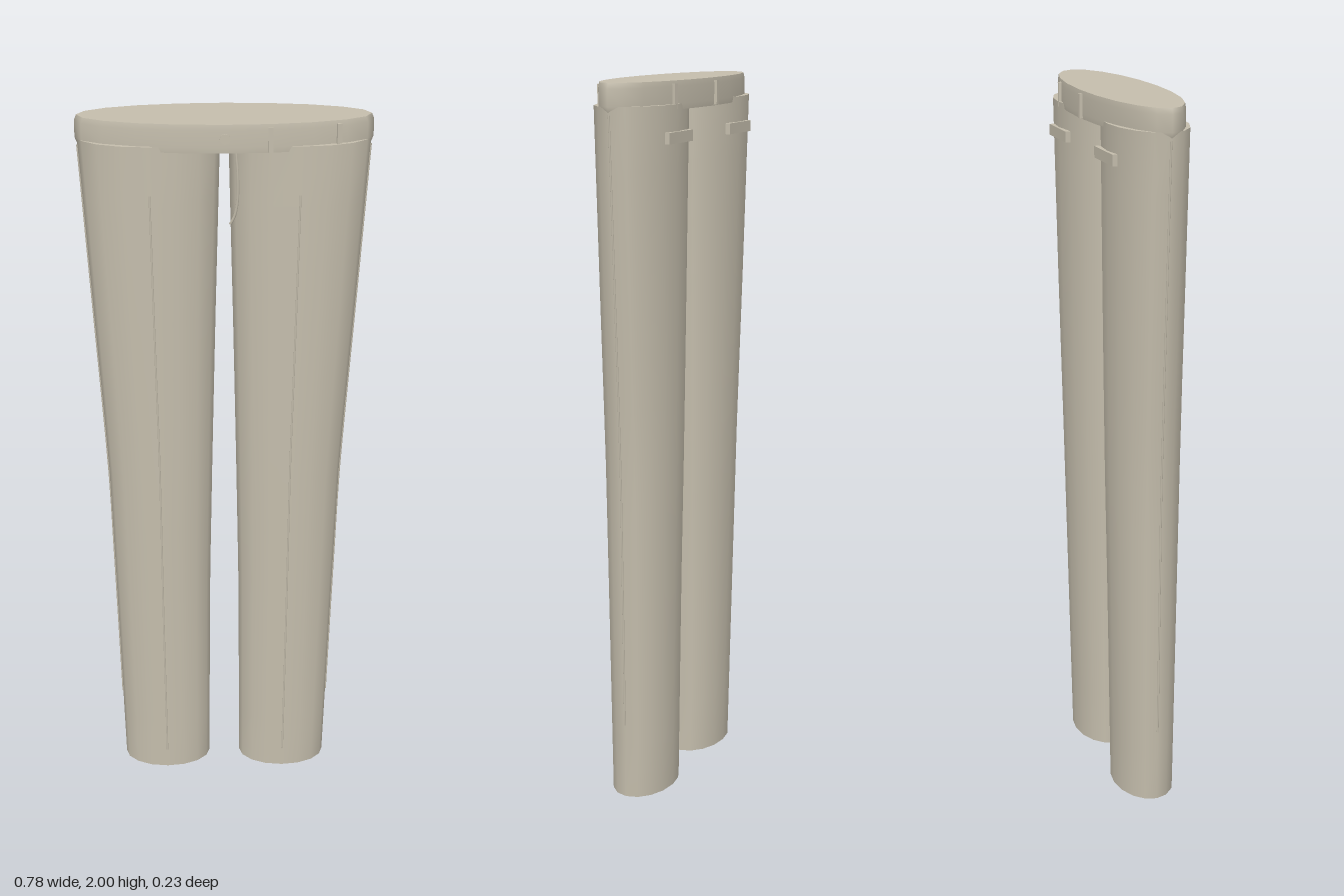
import * as THREE from 'three';

// Leg cross-sections: height, centre x, radius x, centre z, radius z
const SECTIONS = [
  [0, 0.174, 0.128, 0.004, 0.085],
  [0.6, 0.180, 0.138, 0.001, 0.092],
  [1.0, 0.182, 0.148, -0.001, 0.097],
  [1.4, 0.190, 0.165, -0.003, 0.1],
  [1.94, 0.199, 0.188, -0.005, 0.103],
];

// Interpolated section at a height
function sectionAt(y) {
  let i = 0;
  while (i < SECTIONS.length - 2 && y > SECTIONS[i + 1][0]) i++;
  const a = SECTIONS[i], b = SECTIONS[i + 1];
  const t = THREE.MathUtils.clamp((y - a[0]) / (b[0] - a[0]), 0, 1);
  return a.map((v, k) => v + (b[k] - v) * t);
}

// Point on the leg surface; angle 0 is the front, PI/2 the outer side
function legPoint(y, angle, side) {
  const [, cx, rx, cz, rz] = sectionAt(y);
  return new THREE.Vector3(side * (cx + rx * Math.sin(angle)), y, cz + rz * Math.cos(angle));
}

export function createModel() {
  const model = new THREE.Group();
  model.name = 'trousers';
  const cloth = new THREE.MeshStandardMaterial({ color: 0xc4bdac });
  cloth.name = 'beige cloth';

  const add = (geometry, name, x = 0, y = 0, z = 0) => {
    const mesh = new THREE.Mesh(geometry, cloth);
    mesh.name = name;
    mesh.position.set(x, y, z);
    model.add(mesh);
    return mesh;
  };
  const addCord = (points, radius, name) =>
    add(new THREE.TubeGeometry(new THREE.CatmullRomCurve3(points), 16, radius, 6), name);

  for (const side of [-1, 1]) {
    const label = side > 0 ? 'left' : 'right';

    // Leg: a cylinder shaped by the cross-sections
    const leg = new THREE.CylinderGeometry(1, 1, 1.94, 16, 12);
    const p = leg.attributes.position;
    for (let i = 0; i < p.count; i++) {
      const y = p.getY(i) + 0.97;
      const [, cx, rx, cz, rz] = sectionAt(y);
      p.setXYZ(i, side * cx + rx * p.getX(i), y, cz + rz * p.getZ(i));
    }
    // Smooth normals around the sides, without a seam
    leg.computeVertexNormals();
    const n = leg.attributes.normal;
    for (let row = 0; row <= 12; row++) {
      const a = row * 17, b = a + 16;
      const v = new THREE.Vector3().fromBufferAttribute(n, a)
        .add(new THREE.Vector3().fromBufferAttribute(n, b)).normalize();
      n.setXYZ(a, v.x, v.y, v.z);
      n.setXYZ(b, v.x, v.y, v.z);
    }
    add(leg, label + 'Leg');

    // Pressed crease down the front and seam down the outer side
    const along = (from, to, angle) => Array.from({ length: 8 }, (_, i) =>
      legPoint(from + (to - from) * i / 7, angle, side));
    addCord(along(0.06, 1.81, 0), 0.003, label + 'Crease');
    addCord(along(0.22, 1.92, Math.PI / 2), 0.003, label + 'SideSeam');

    // Back pocket welt
    add(new THREE.BoxGeometry(0.14, 0.03, 0.014), label + 'BackPocketWelt', side * 0.189, 1.855, -0.108);
  }

  // Waistband: oval with a slightly rounded top rim
  const rings = [[0, 1.925], [0.985, 1.925], [0.985, 1.925], [1, 1.94], [1, 1.985], [0.985, 2], [0.985, 2], [0, 2]];
  const profile = rings.map(([r, y]) => new THREE.Vector2(r, y));
  const side = new THREE.LatheGeometry(profile.slice(2, 6), 20);
  const bottom = new THREE.LatheGeometry(profile.slice(0, 2), 20);
  const top = new THREE.LatheGeometry(profile.slice(6), 20);
  [[side, 'waistband'], [bottom, 'waistbandBottom'], [top, 'waistbandTop']].forEach(([g, name]) => {
    g.scale(0.392, 1, 0.112);
    add(g, name, 0, 0, -0.004);
  });

  // Belt loops, turned to follow the oval
  for (const angle of [0.303, 0.853, 2.6, 3.19]) {
    const x = 0.392 * Math.sin(angle), z = 0.112 * Math.cos(angle);
    const loop = add(new THREE.BoxGeometry(0.013, 0.065, 0.012), 'beltLoop', x, 1.96, z - 0.005);
    loop.rotation.y = Math.atan2(x / 0.392 ** 2, z / 0.112 ** 2);
  }

  // Waist button
  const button = add(new THREE.CylinderGeometry(0.014, 0.014, 0.008, 16), 'button', 0, 1.963, 0.107);
  button.rotation.x = Math.PI / 2;

  // Curved fly stitching
  addCord([
    new THREE.Vector3(0.028, 1.93, 0.1), new THREE.Vector3(0.033, 1.86, 0.1),
    new THREE.Vector3(0.032, 1.79, 0.096), new THREE.Vector3(0.024, 1.75, 0.092),
    new THREE.Vector3(0.014, 1.73, 0.088),
  ], 0.004, 'flyStitching');

  return model;
}
